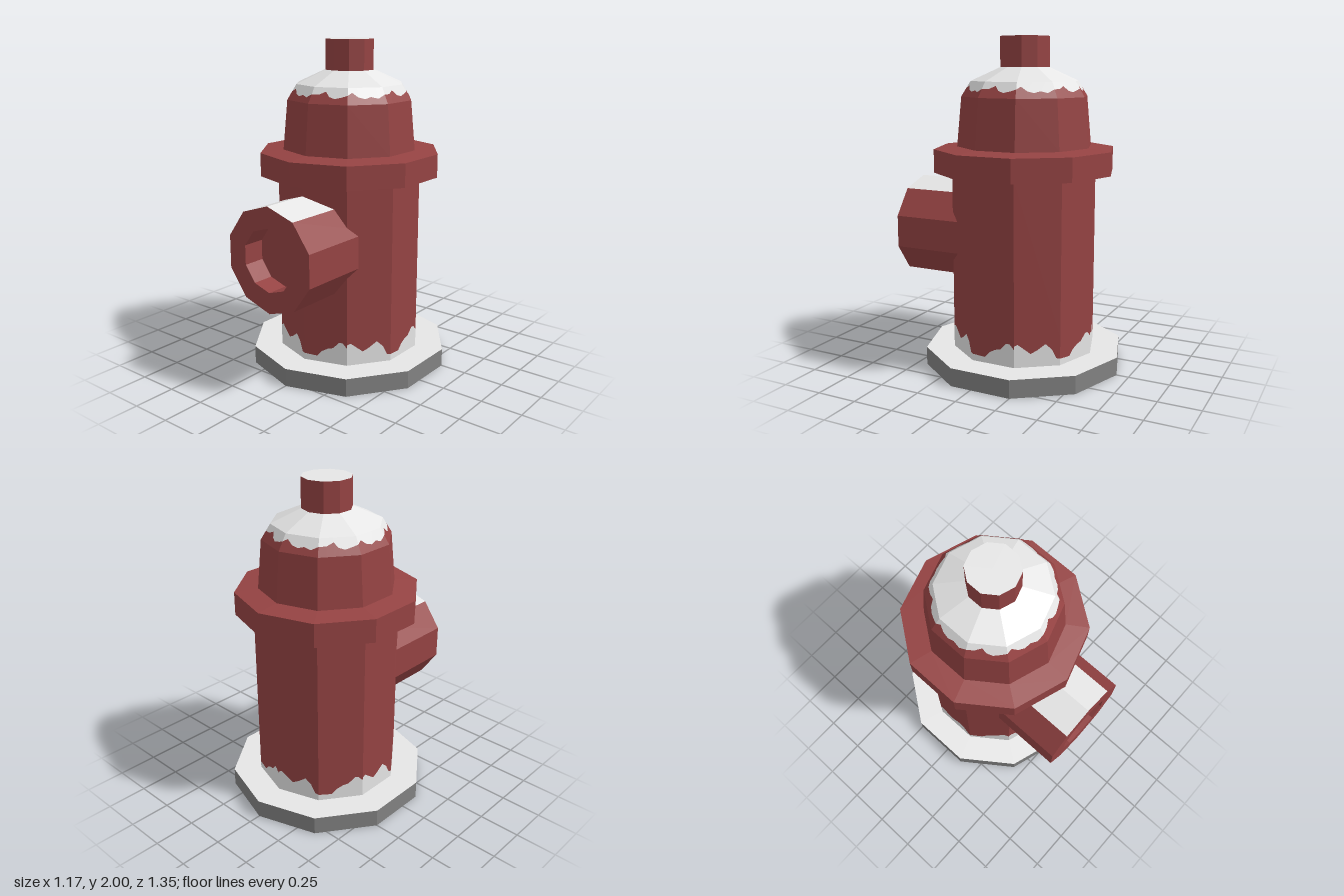
import * as THREE from 'three';

const SIDES = 10;
const AXIS_Z = -0.06;

const mat = (name, color) => {
  const m = new THREE.MeshStandardMaterial({ color });
  m.name = name;
  return m;
};

// Gives each facet its own normal
function facet(geometry) {
  const g = geometry.index ? geometry.toNonIndexed() : geometry;
  g.computeVertexNormals();
  return g;
}

function part(parent, name, geometry, material) {
  const mesh = new THREE.Mesh(facet(geometry), material);
  mesh.name = name;
  parent.add(mesh);
  return mesh;
}

// Ten-sided surface from [radius, height] points
const turned = (points) =>
  new THREE.LatheGeometry(points.map(([r, y]) => new THREE.Vector2(r, y)), SIDES);

// Ten-sided band split by a ragged edge; patterns alternate from face to face.
// Each pattern is a list of [fraction across face, height].
function raggedBand([r0, y0], [r1, y1], patterns) {
  const lower = [], upper = [];
  const point = (face, t, y) => {
    const a = (face / SIDES) * Math.PI * 2, b = ((face + 1) / SIDES) * Math.PI * 2;
    const r = THREE.MathUtils.mapLinear(y, y0, y1, r0, r1);
    return [
      r * THREE.MathUtils.lerp(Math.sin(a), Math.sin(b), t), y,
      r * THREE.MathUtils.lerp(Math.cos(a), Math.cos(b), t),
    ];
  };
  const quad = (out, a, b, c, d) => out.push(...a, ...b, ...c, ...a, ...c, ...d);
  for (let f = 0; f < SIDES; f++) {
    const edge = patterns[f % patterns.length];
    for (let i = 0; i < edge.length - 1; i++) {
      const [t, y] = edge[i], [u, v] = edge[i + 1];
      quad(lower, point(f, t, y0), point(f, u, y0), point(f, u, v), point(f, t, y));
      quad(upper, point(f, t, y), point(f, u, v), point(f, u, y1), point(f, t, y1));
    }
  }
  return [lower, upper].map((values) =>
    new THREE.BufferGeometry().setAttribute('position', new THREE.Float32BufferAttribute(values, 3)));
}

export function createModel() {
  const red = mat('red paint', 0x954343);
  const white = mat('white', 0xe6e6e6);
  const gray = mat('gray stone', 0x828282);
  const dark = mat('dark underside', 0x646669);

  const model = new THREE.Group();
  model.name = 'fireHydrant';
  const column = new THREE.Group();
  column.name = 'column';
  column.position.z = AXIS_Z;
  model.add(column);

  // Base slab: gray rim, white top, dark underside
  part(column, 'baseRim', turned([[0.615, 0], [0.615, 0.11]]), gray);
  part(column, 'baseTop', turned([[0.615, 0.11], [0.4, 0.11]]), white);
  const underside = new THREE.CircleGeometry(0.615, SIDES, Math.PI / 2).rotateX(Math.PI / 2);
  part(column, 'baseUnderside', underside, dark);

  // Barrel with a ragged white foot
  const [foot, footPaint] = raggedBand([0.442, 0.11], [0.442, 0.27], [
    [[0, 0.15], [0.3, 0.145], [0.42, 0.18], [0.55, 0.2], [0.68, 0.21], [0.82, 0.25], [0.9, 0.25], [1, 0.22]],
    [[0, 0.24], [0.08, 0.25], [0.22, 0.22], [0.36, 0.19], [0.5, 0.21], [0.68, 0.245], [0.82, 0.21], [0.92, 0.155], [1, 0.15]],
  ]);
  part(column, 'barrelFoot', foot, white);
  part(column, 'barrelFootPaint', footPaint, red);
  part(column, 'barrel', turned([[0.442, 0.27], [0.442, 1.2]]), red);

  // Flange and bonnet wall
  part(column, 'flange', turned([[0.442, 1.2], [0.55, 1.2], [0.55, 1.34], [0.41, 1.355]]), red);
  part(column, 'bonnetWall', turned([[0.41, 1.355], [0.382, 1.65]]), red);

  // Bonnet shoulder, white above a ragged edge
  const [shoulder, shoulderTop] = raggedBand([0.382, 1.65], [0.326, 1.74], [
    [[0, 1.70], [0.2, 1.7], [0.38, 1.717], [0.5, 1.69], [0.65, 1.68], [0.85, 1.69], [1, 1.7]],
    [[0, 1.7], [0.12, 1.715], [0.28, 1.69], [0.45, 1.68], [0.62, 1.69], [0.8, 1.68], [1, 1.7]],
  ]);
  part(column, 'bonnetShoulder', shoulder, red);
  part(column, 'bonnetShoulderTop', shoulderTop, white);
  part(column, 'bonnetCrown', turned([[0.326, 1.74], [0.149, 1.82]]), white);

  // Operating nut
  part(column, 'nutSides', turned([[0.149, 1.82], [0.149, 2]]), red);
  const nutTop = new THREE.CircleGeometry(0.149, SIDES, Math.PI / 2).rotateX(-Math.PI / 2);
  nutTop.translate(0, 2, 0);
  part(column, 'nutTop', nutTop, white);

  // Front outlet with recessed mouth; its two upper faces are white
  const outlet = new THREE.Group();
  outlet.name = 'outlet';
  outlet.position.y = 0.81;
  outlet.rotation.x = Math.PI / 2;
  model.add(outlet);
  const shell = (segments, start) => {
    const g = new THREE.CylinderGeometry(0.315, 0.315, 0.575, segments, 1, true,
      start * Math.PI, (segments / SIDES) * Math.PI * 2);
    return g.translate(0, 0.3875, 0);
  };
  part(outlet, 'outletSides', shell(8, 1.2), red);
  part(outlet, 'outletTop', shell(2, 0.8), white);
  part(outlet, 'outletMouth',
    turned([[0.315, 0.675], [0.188, 0.675], [0.188, 0.54], [0, 0.54]]), red);

  return model;
}
